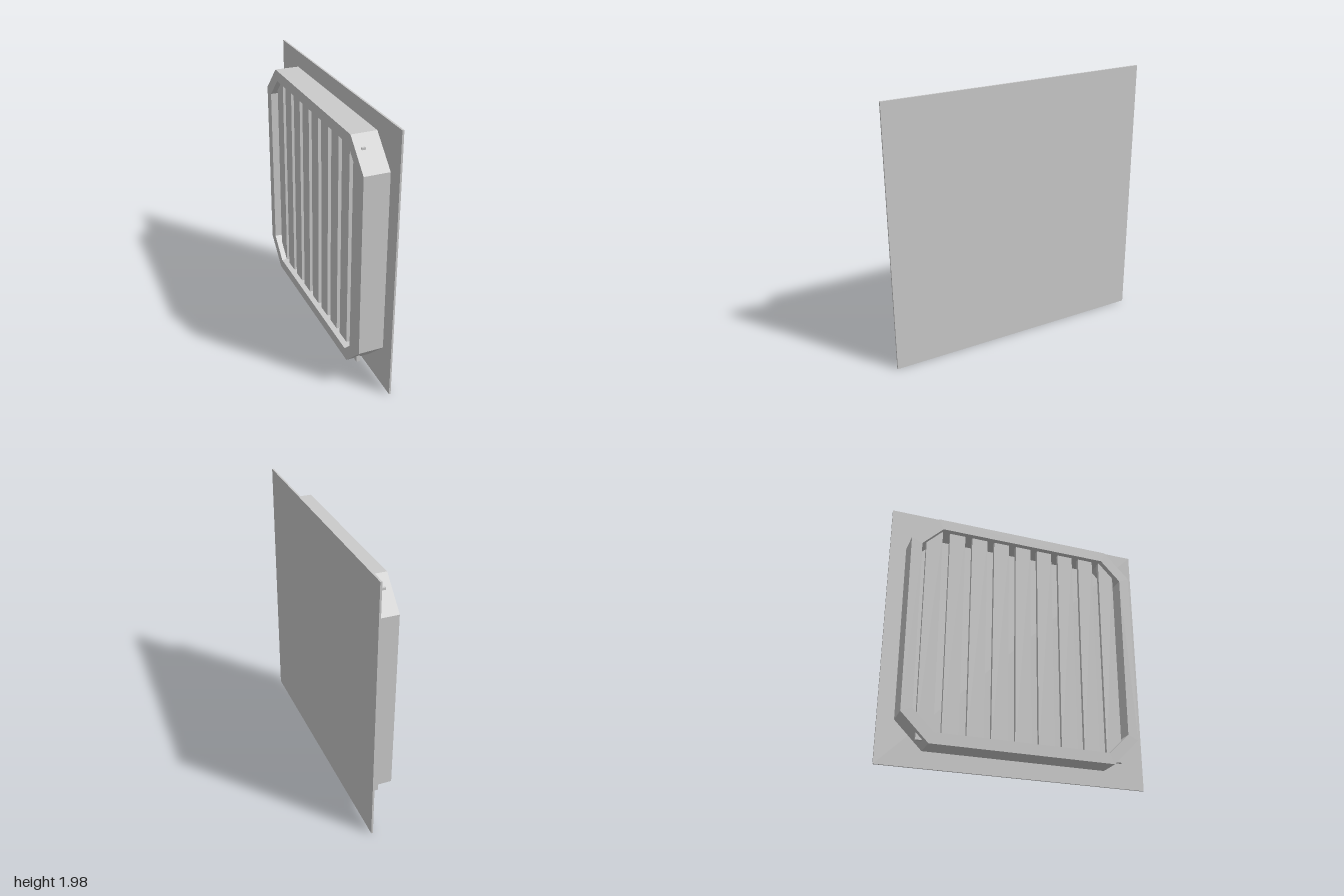
import * as THREE from 'three';

const material = new THREE.MeshStandardMaterial({ color: 0xcccccc, flatShading: true });
const CENTER_Y = 0.99;

// Corner points of a rectangle with 45 degree cut corners
function cutCorners(halfW, halfH, cut) {
  const w = halfW - cut, h = halfH - cut;
  return [
    [w, -halfH], [halfW, -h], [halfW, h], [w, halfH],
    [-w, halfH], [-halfW, h], [-halfW, -h], [-w, -halfH],
  ].map(([x, y]) => new THREE.Vector2(x, y));
}

function addMesh(group, name, geometry, x, y, z) {
  const mesh = new THREE.Mesh(geometry, material);
  mesh.name = name;
  mesh.position.set(x, y, z);
  group.add(mesh);
  return mesh;
}

export function createModel() {
  const model = new THREE.Group();
  model.name = 'ventPanel';

  // Thin square cover plate
  addMesh(model, 'coverPlate', new THREE.BoxGeometry(0.013, 1.98, 2), 0.0915, CENTER_Y, 0);

  // Octagonal frame of even wall thickness, extruded along x
  const wall = 0.08, cut = 0.2, half = 0.88, halfH = 0.87;
  const innerCut = cut - wall * (2 - Math.SQRT2);
  const ring = new THREE.Shape(cutCorners(half, halfH, cut));
  ring.holes.push(new THREE.Path(cutCorners(half - wall, halfH - wall, innerCut).reverse()));
  const frameGeometry = new THREE.ExtrudeGeometry(ring, { depth: 0.185, bevelEnabled: false });
  frameGeometry.rotateY(Math.PI / 2);
  addMesh(model, 'frame', frameGeometry, -0.098, CENTER_Y, 0);

  // Row of vertical slats; the outer ones poke slightly through the cut corners
  const slats = new THREE.Group();
  slats.name = 'slats';
  const count = 9, pitch = 0.175;
  const slatGeometry = new THREE.BoxGeometry(0.027, 1.645, 0.12);
  for (let i = 0; i < count; i++) {
    addMesh(slats, 'slat', slatGeometry, -0.043, 0.9725, (i - (count - 1) / 2) * pitch);
  }
  model.add(slats);

  return model;
}
